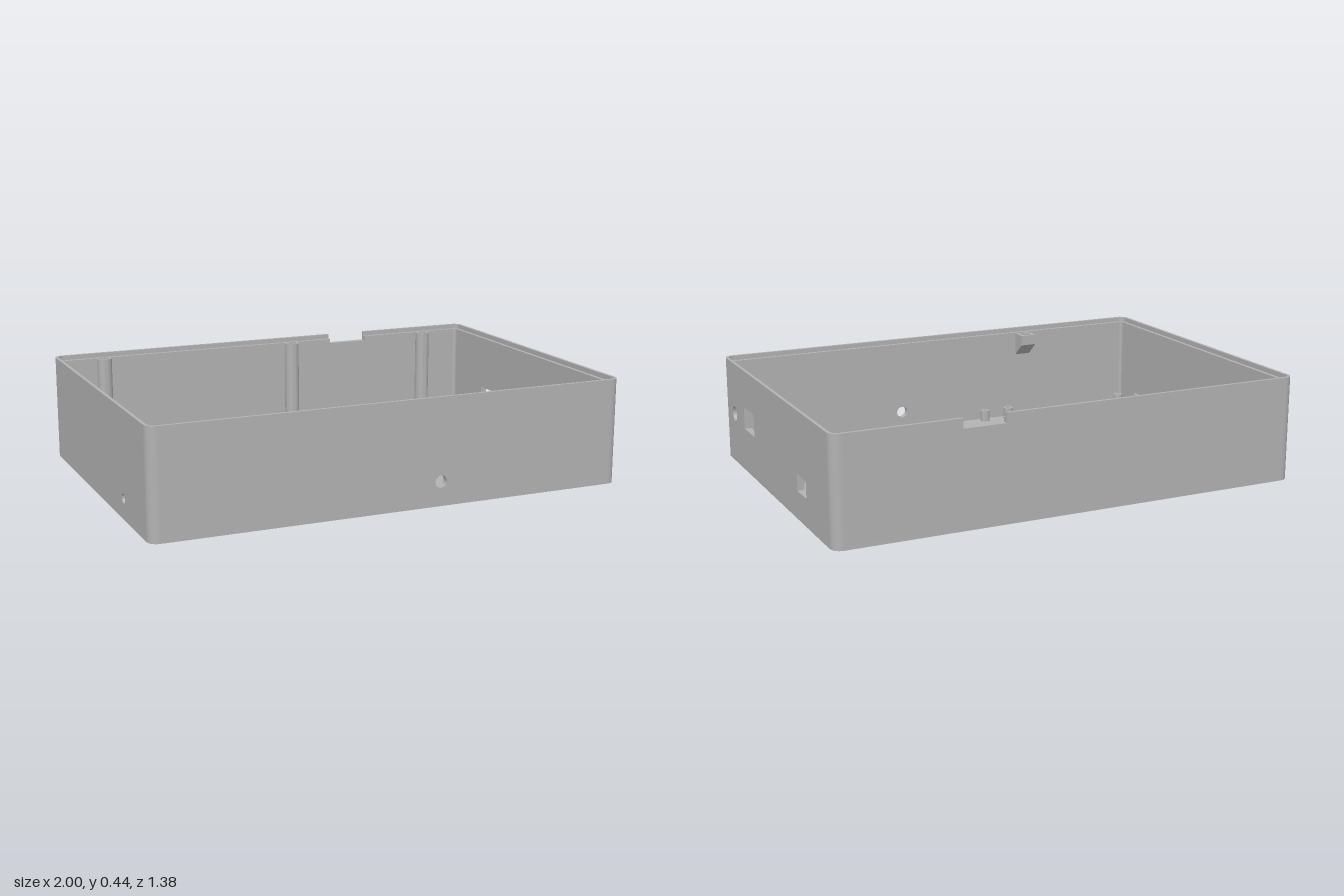
import * as THREE from 'three';
import { toCreasedNormals } from 'three/addons/utils/BufferGeometryUtils.js';

const W = 1, D = 0.688, H = 0.44, R = 0.04;        // half width, half depth, height, corner radius
const FLOOR = 0.02, T = 0.028, LIP = 0.013, STEP = 0.42; // floor and wall thickness, rim thickness and start

export function createModel() {
  const root = new THREE.Group();
  root.name = 'enclosure';
  const grey = new THREE.MeshStandardMaterial({ color: 0xb2b2b2 });
  grey.name = 'grey plastic';

  const add = (name, geo, x = 0, y = 0, z = 0) => {
    const m = new THREE.Mesh(geo, grey);
    m.name = name;
    m.position.set(x, y, z);
    root.add(m);
    return m;
  };
  const extrude = (shape, depth) => toCreasedNormals(
    new THREE.ExtrudeGeometry(shape, { depth, bevelEnabled: false, curveSegments: 16 }), 0.6);
  const upright = (shape, h) => extrude(shape, h).rotateX(-Math.PI / 2);
  const poly = pts => new THREE.Shape(pts.map(p => new THREE.Vector2(p[0], p[1])));
  const rect = (x0, y0, x1, y1) => poly([[x0, y0], [x1, y0], [x1, y1], [x0, y1]]);
  const circle = (x, y, r) => new THREE.Shape().absarc(x, y, r, 0, Math.PI * 2, false);
  const box = (name, x, z, w, d, h, y = FLOOR) =>
    add(name, new THREE.BoxGeometry(w, h, d), x, y + h / 2, z);

  // Floor with rounded corners
  const base = new THREE.Shape();
  base.absarc(W - R, D - R, R, 0, Math.PI / 2, false);
  base.absarc(-W + R, D - R, R, Math.PI / 2, Math.PI, false);
  base.absarc(-W + R, -D + R, R, Math.PI, Math.PI * 1.5, false);
  base.absarc(W - R, -D + R, R, Math.PI * 1.5, Math.PI * 2, false);
  add('floor', upright(base, FLOOR));

  // Wall panels: side walls run along -z in their own shape coordinates
  const panel = (name, side, shape, t) => {
    const geo = extrude(shape, t);
    if (side === 'front') geo.translate(0, 0, D - t);
    if (side === 'back') geo.translate(0, 0, -D);
    if (side === 'right') geo.rotateY(Math.PI / 2).translate(W - t, 0, 0);
    if (side === 'left') geo.rotateY(Math.PI / 2).translate(-W, 0, 0);
    add(name, geo);
  };
  const L = W - R, S = D - R;
  const front = rect(-L, FLOOR, L, STEP);
  front.holes.push(circle(0.185, 0.1, 0.025));
  panel('frontWall', 'front', front, T);

  const right = rect(-S, FLOOR, S, STEP);
  right.holes.push(circle(-0.548, 0.217, 0.032),
    rect(-0.406, 0.185, -0.265, 0.281), rect(0.291, 0.116, 0.396, 0.185));
  panel('socketWall', 'right', right, T);

  const left = rect(-S, FLOOR, S, STEP);
  left.holes.push(circle(-0.36, 0.085, 0.02));
  panel('plainSideWall', 'left', left, T);

  // Back wall with the cable notch in its top edge
  const n0 = 0.305, n1 = 0.483, notchY = 0.4;
  panel('backWall', 'back', poly([[-L, FLOOR], [L, FLOOR], [L, STEP], [n1, STEP],
    [n1, notchY], [n0, notchY], [n0, STEP], [-L, STEP]]), T);

  // Thin stepped rim
  panel('rim', 'front', rect(-L, STEP, L, H), LIP);
  panel('rim', 'right', rect(-S, STEP, S, H), LIP);
  panel('rim', 'left', rect(-S, STEP, S, H), LIP);
  panel('rim', 'back', rect(-L, STEP, n0, H), LIP);
  panel('rim', 'back', rect(n1, STEP, L, H), LIP);

  // Rounded wall corners
  const corner = (t, h) => {
    const s = new THREE.Shape();
    s.absarc(0, 0, R, 0, Math.PI / 2, false);
    s.absarc(0, 0, R - t, Math.PI / 2, 0, true);
    return upright(s, h);
  };
  [[1, -1], [-1, -1], [-1, 1], [1, 1]].forEach(([sx, sz], i) => {
    for (const [t, y, h] of [[T, FLOOR, STEP - FLOOR], [LIP, STEP, H - STEP]])
      add('wallCorner', corner(t, h), sx * L, y, sz * S).rotation.y = i * Math.PI / 2;
  });

  // Hollow posts: tall lid posts and short board standoffs
  const post = (name, x, z, r, hole, h) => {
    const s = circle(0, 0, r);
    s.holes.push(circle(0, 0, hole));
    add(name, upright(s, h), x, FLOOR, z);
  };
  for (const x of [-0.785, 0.105, 0.782]) post('lidPost', x, -0.645, 0.032, 0.022, 0.4);
  const standoffs = [];
  for (const x of [-0.92, -0.105, 0.125, 0.938]) standoffs.push([x, -0.583], [x, -0.058]);
  for (const x of [-0.938, -0.34]) standoffs.push([x, 0.17], [x, 0.625]);
  for (const x of [-0.22, 0.592]) standoffs.push([x, 0.098], [x, 0.625]);
  for (const [x, z] of standoffs) post('standoff', x, z, 0.021, 0.01, 0.05);

  // Snap clips, barb pointing along dir
  const clip = (name, x, z, dir, w, h) => {
    const s = poly([[-0.008, 0], [0.001, 0], [0.001, h - 0.025], [0.008, h - 0.02],
      [0.001, h], [-0.008, h]]);
    add(name, extrude(s, w).translate(0, 0, -w / 2), x, FLOOR, z).rotation.y = dir;
  };
  const toRight = 0, toLeft = Math.PI, toBack = Math.PI / 2, toFront = -Math.PI / 2;
  for (const [x, z, dir] of [[-0.948, -0.32, toRight], [-0.08, -0.32, toLeft],
    [0.095, -0.32, toRight], [0.965, -0.492, toLeft], [-0.967, 0.497, toRight],
    [-0.312, 0.395, toLeft], [-0.25, 0.36, toRight], [0.62, 0.36, toLeft]])
    clip('boardClip', x, z, dir, 0.037, 0.075);

  // Module holder: tall clips and low locating ribs
  for (const x of [0.71, 0.803]) {
    clip('holderClip', x, 0.05, toFront, 0.034, 0.12);
    clip('holderClip', x, 0.503, toBack, 0.034, 0.12);
  }
  for (const x of [0.665, 0.757, 0.848])
    for (const z of [0.095, 0.46]) box('holderRib', x, z, 0.007, 0.034, 0.03);

  // Cradles: pairs of prongs hollowed by a round seat
  const prong = new THREE.Shape();
  prong.moveTo(-0.056, 0);
  prong.lineTo(-0.026, 0);
  prong.quadraticCurveTo(-0.044, 0.025, -0.038, 0.085);
  prong.lineTo(-0.05, 0.085);
  prong.closePath();
  for (const z of [0.338, 0.575])
    for (const turn of [0, Math.PI])
      add('cradleProng', extrude(prong, 0.036).translate(0, 0, -0.018), 0.93, FLOOR, z).rotation.y = turn;

  // Small socket board supports
  for (const [x, z] of [[0.951, -0.002], [0.865, 0.23]])
    add('locatingPin', new THREE.CylinderGeometry(0.014, 0.014, 0.05, 20), x, FLOOR + 0.025, z);
  box('supportTab', 0.907, -0.02, 0.03, 0.007, 0.05);
  box('supportTab', 0.907, 0.25, 0.03, 0.01, 0.05);
  box('supportTab', 0.974, 0.113, 0.01, 0.037, 0.06);

  // Screw bracket on the front wall: drilled block over a sloping gusset
  const inner = D - T, reach = 0.062;
  const block = rect(-0.036, -reach / 2, 0.036, reach / 2);
  block.holes.push(circle(0, 0, 0.024));
  add('screwBracket', upright(block, 0.045), -0.432, 0.37, inner - reach / 2);
  const gusset = extrude(poly([[0, 0], [reach, 0.055], [0, 0.055]]), 0.072);
  add('bracketGusset', gusset.translate(0, 0, -0.036), -0.432, 0.315, inner).rotation.y = Math.PI / 2;

  return root;
}
